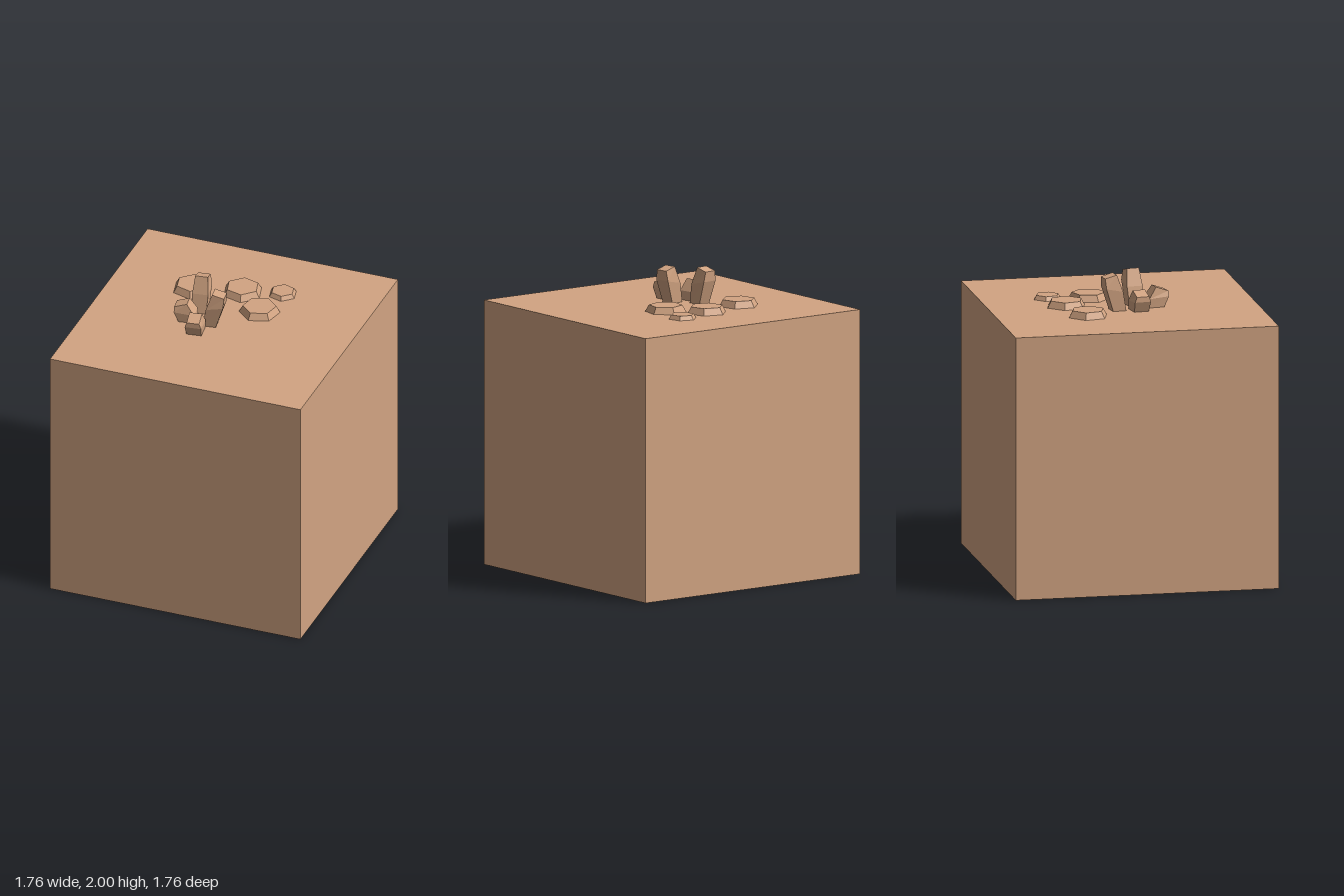
import * as THREE from 'three';

const clay = new THREE.MeshStandardMaterial({ color: 0xd2a482, flatShading: true });
clay.name = 'clay';

const TOP = 1.757;

// Four-sided leaning crystal. Each section: [inner reach, inner height, outer reach, outer height, half width]
function crystalGeometry(sections) {
  const pos = [], index = [];
  for (const [u0, y0, u1, y1, w] of sections) {
    pos.push(u0, y0, w, u1, y1, w, u1, y1, -w, u0, y0, -w);
  }
  for (let s = 0; s < sections.length - 1; s++) {
    for (let k = 0; k < 4; k++) {
      const a = s * 4 + k, b = s * 4 + (k + 1) % 4;
      index.push(a, b, b + 4, a, b + 4, a + 4);
    }
  }
  const t = (sections.length - 1) * 4;
  index.push(t, t + 1, t + 2, t, t + 2, t + 3, 0, 2, 1, 0, 3, 2);
  const geo = new THREE.BufferGeometry();
  geo.setAttribute('position', new THREE.Float32BufferAttribute(pos, 3));
  geo.setIndex(index);
  const flat = geo.toNonIndexed();
  flat.computeVertexNormals();
  return flat;
}

export function createModel() {
  const group = new THREE.Group();
  const add = (name, geo, x, y, z, turn = 0) => {
    const mesh = new THREE.Mesh(geo, clay);
    mesh.name = name;
    mesh.position.set(x, y, z);
    mesh.rotation.y = THREE.MathUtils.degToRad(turn);
    group.add(mesh);
  };

  // Large ground block
  add('groundBlock', new THREE.BoxGeometry(1.756, TOP, 1.756), 0, TOP / 2, 0);

  // Flat hexagonal stones: x, z, radius, height, turn
  const stones = [
    [-0.33, -0.283, 0.135, 0.045, 13],
    [-0.01, -0.362, 0.135, 0.045, 15],
    [0.182, -0.173, 0.135, 0.045, -12],
    [0.243, -0.435, 0.095, 0.028, 13],
  ];
  stones.forEach(([x, z, r, h, turn], i) => {
    add(`steppingStone${i + 1}`, new THREE.CylinderGeometry(r - 0.025 * r / 0.135, r, h, 6), x, TOP + h / 2, z, turn);
  });

  // Cluster of crystals leaning outward
  const tall = crystalGeometry([
    [0.01, 0, 0.1, 0, 0.045],
    [0.035, 0.13, 0.15, 0.155, 0.054],
    [0.075, 0.243, 0.155, 0.222, 0.042],
  ]);
  const short = crystalGeometry([
    [0, 0, 0.11, 0, 0.05],
    [0.005, 0.06, 0.14, 0.07, 0.055],
    [0.055, 0.135, 0.14, 0.105, 0.042],
  ]);
  add('leftCrystal', tall, -0.118, TOP, 0.087, 8);
  add('backCrystal', tall, -0.176, TOP, 0, 98);
  add('rightCrystal', short, -0.165, TOP, 0.072, 188);
  add('frontCrystal', short, -0.127, TOP, 0.147, 278);

  return group;
}
